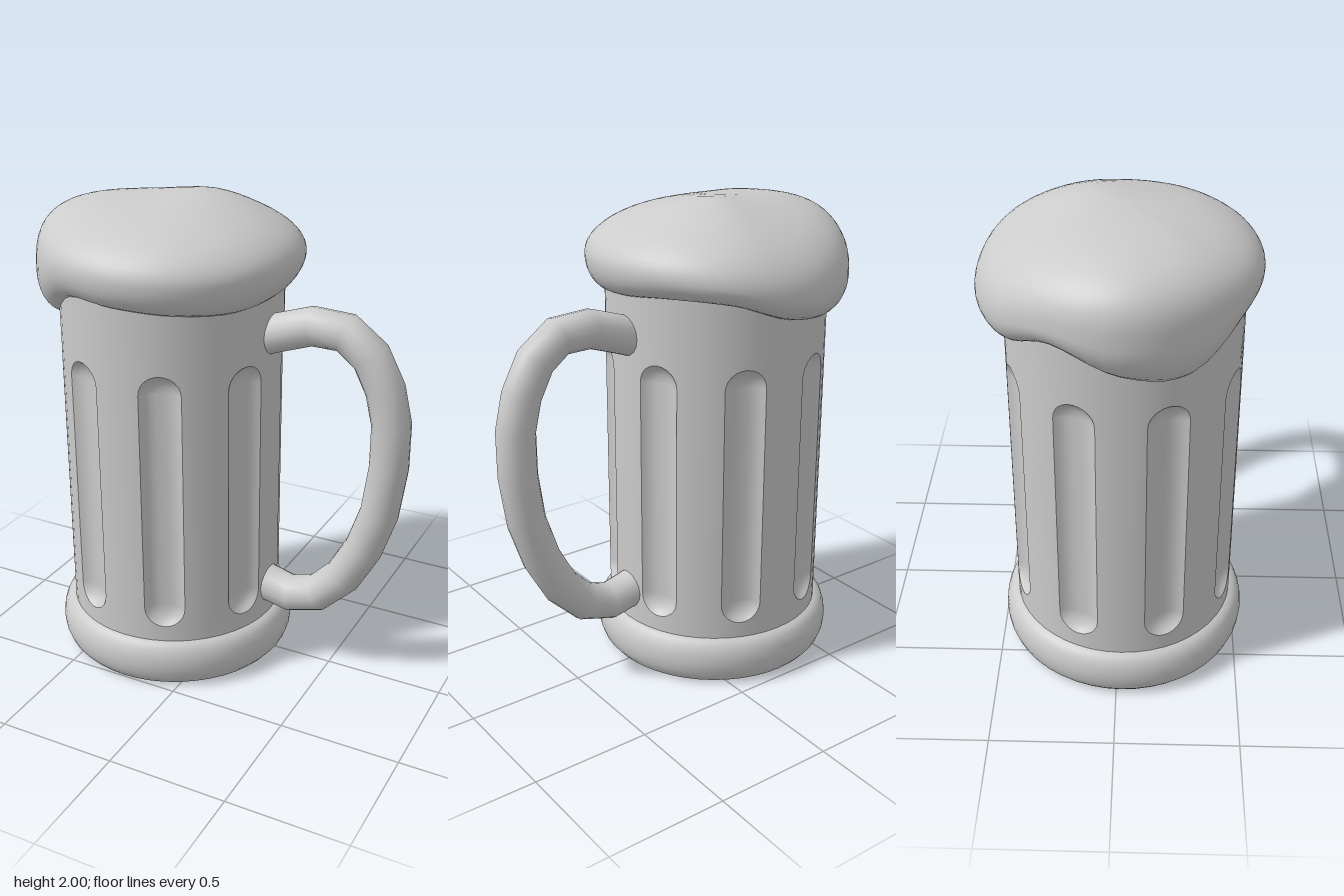
import * as THREE from 'three';
import { mergeVertices, mergeGeometries } from 'three/addons/utils/BufferGeometryUtils.js';

const R = 0.46; // mug wall radius
const material = new THREE.MeshStandardMaterial({ color: 0xcccccc });

function mesh(name, geometry) {
  const m = new THREE.Mesh(geometry, material);
  m.name = name;
  return m;
}

// Skin a list of closed rings, each an array of [x, y, z]
function loft(rings) {
  const n = rings[0].length, index = [];
  for (let i = 0; i < rings.length - 1; i++) {
    for (let j = 0; j < n; j++) {
      const k = (j + 1) % n;
      const a = i * n + j, b = a + n, c = i * n + k, d = c + n;
      index.push(a, b, c, b, d, c);
    }
  }
  const g = new THREE.BufferGeometry();
  g.setAttribute('position', new THREE.Float32BufferAttribute(rings.flat(2), 3));
  g.setIndex(index);
  const merged = mergeVertices(g, 1e-5);
  merged.computeVertexNormals();
  return merged;
}

// Slot outline and its surrounding rectangle, unrolled as [s, v]
const slot = { r: 0.085, low: 0.355, high: 1.305 };
const panel = { half: Math.PI * R / 8, low: 0.18, high: 1.75 };
const ARC = 12, SIDE = 8;

function slotLoop(k) {
  const pts = [];
  for (const [centre, other, start] of [[slot.high, slot.low, 0], [slot.low, slot.high, Math.PI]]) {
    for (let i = 0; i <= ARC; i++) {
      const t = start + Math.PI * i / ARC;
      pts.push([slot.r * k * Math.cos(t), centre + slot.r * k * Math.sin(t)]);
    }
    const s = start ? slot.r * k : -slot.r * k;
    for (let i = 1; i < SIDE; i++) pts.push([s, centre + (other - centre) * i / SIDE]);
  }
  return pts;
}

function panelLoop() {
  const pts = [];
  for (const [centre, other, end, sign] of [
    [slot.high, slot.low, panel.high, 1], [slot.low, slot.high, panel.low, -1]]) {
    for (let i = 0; i <= ARC; i++) {
      const t = i / ARC;
      const s = THREE.MathUtils.clamp(2 - 4 * t, -1, 1) * panel.half * sign;
      const rise = Math.min(1, 4 * t, 4 - 4 * t);
      pts.push([s, centre + (end - centre) * rise]);
    }
    for (let i = 1; i < SIDE; i++) pts.push([-sign * panel.half, centre + (other - centre) * i / SIDE]);
  }
  return pts;
}

// Roll an unrolled loop onto the wall, pushed in by depth
const wrap = (loop, phi, depth = 0) => loop.map(([s, v]) => {
  const a = phi + s / R, r = R - depth;
  return [r * Math.cos(a), v, r * Math.sin(a)];
});

function wallPanel(phi) {
  const outer = panelLoop(), inner = slotLoop(1);
  const rings = [0, 0.5, 1].map(t => wrap(
    outer.map((p, j) => [0, 1].map(c => p[c] + (inner[j][c] - p[c]) * t)), phi));
  const g = loft(rings);
  // Round wall: normals point straight out from the axis
  const p = g.attributes.position, nor = g.attributes.normal;
  for (let i = 0; i < p.count; i++) nor.setXYZ(i, p.getX(i) / R, 0, p.getZ(i) / R);
  return g;
}

const flute = phi => loft([1, 0.93, 0.83, 0.7, 0.5, 0.25, 0]
  .map(k => wrap(slotLoop(k), phi, 0.038 * (1 - k ** 3))));

// Foam section every 30 degrees from +x towards +z:
// [widest radius, its height, lower edge height, squareness of the shoulder]
const foamKeys = [
  [0.535, 1.76, 1.64, 2], [0.54, 1.76, 1.62, 2], [0.53, 1.76, 1.63, 2],
  [0.52, 1.76, 1.645, 2], [0.525, 1.76, 1.64, 2.2], [0.545, 1.68, 1.51, 3.2],
  [0.57, 1.70, 1.54, 3.3], [0.54, 1.72, 1.63, 2.6], [0.55, 1.67, 1.55, 2.2],
  [0.56, 1.67, 1.57, 2], [0.56, 1.73, 1.65, 2], [0.545, 1.76, 1.665, 2],
];

function foamSection(u) {
  const n = foamKeys.length, i = Math.floor(u * n), t = u * n - i;
  const [a, b, c, d] = [-1, 0, 1, 2].map(o => foamKeys[(i + o + n) % n]);
  return b.map((q, k) => q + 0.5 * t * (c[k] - a[k]
    + t * (2 * a[k] - 5 * q + 4 * c[k] - d[k] + t * (3 * (q - c[k]) + d[k] - a[k]))));
}

function foam() {
  const SEG = 60, LOW = 7, UP = 16, rings = [];
  for (let i = -LOW; i <= UP; i++) {
    const ring = [];
    for (let j = 0; j < SEG; j++) {
      const phi = 2 * Math.PI * j / SEG;
      const [rad, mid, low, p] = foamSection(j / SEG);
      const t = (i < 0 ? -i / LOW : i / UP) * Math.PI / 2;
      const co = i === UP ? 0 : Math.cos(t), si = Math.sin(t);
      let r, y;
      if (i < 0) {
        r = 0.44 + (rad - 0.44) * co;
        y = mid - (mid - low) * si;
      } else {
        r = rad * co ** (2 / p);
        y = mid + (1.975 - mid) * si ** (2 / p);
      }
      const x = r * Math.cos(phi), z = r * Math.sin(phi);
      // Soft crest on top, off centre
      if (i > 0) y += 0.033 * si * Math.exp(-((x - 0.12) ** 2 + (z + 0.14) ** 2) / 0.04);
      ring.push([x, y, z]);
    }
    rings.push(ring);
  }
  return loft(rings);
}

function handle() {
  const path = [[0.14, 1.45], [0.25, 1.49], [0.385, 1.535], [0.525, 1.53], [0.63, 1.45],
    [0.695, 1.325], [0.728, 1.185], [0.728, 1.0], [0.7, 0.795], [0.64, 0.615],
    [0.555, 0.46], [0.445, 0.35], [0.32, 0.312], [0.22, 0.335], [0.14, 0.36]];
  const curve = new THREE.CatmullRomCurve3(path.map(([x, y]) => new THREE.Vector3(x + 0.24, y, 0)));
  curve.getUtoTmapping = u => u; // one tube ring per path point
  return new THREE.TubeGeometry(curve, path.length - 1, 0.079, 16);
}

export function createModel() {
  const group = new THREE.Group();
  group.name = 'beerMug';
  const mug = new THREE.Group();
  mug.name = 'mug';
  mug.position.set(-0.24, 0, 0.02);
  group.add(mug);

  // Eight wall panels, each with a sunken flute
  const angles = Array.from({ length: 8 }, (_, i) => (i + 0.5) * Math.PI / 4);
  mug.add(mesh('wall', mergeGeometries(angles.map(wallPanel))));
  mug.add(mesh('flutes', mergeGeometries(angles.map(flute))));

  // Rounded foot ring and its flat underside
  const foot = [];
  for (let i = 0; i <= 8; i++) {
    const t = Math.PI * (i / 8 - 0.5);
    foot.push(new THREE.Vector2(R + 0.055 * Math.cos(t), 0.1 + 0.1 * Math.sin(t)));
  }
  mug.add(mesh('foot', new THREE.LatheGeometry(foot, 48)));
  mug.add(mesh('underside', new THREE.CircleGeometry(R, 48).rotateX(Math.PI / 2)));

  mug.add(mesh('handle', handle()));
  mug.add(mesh('foam', foam()));
  return group;
}
